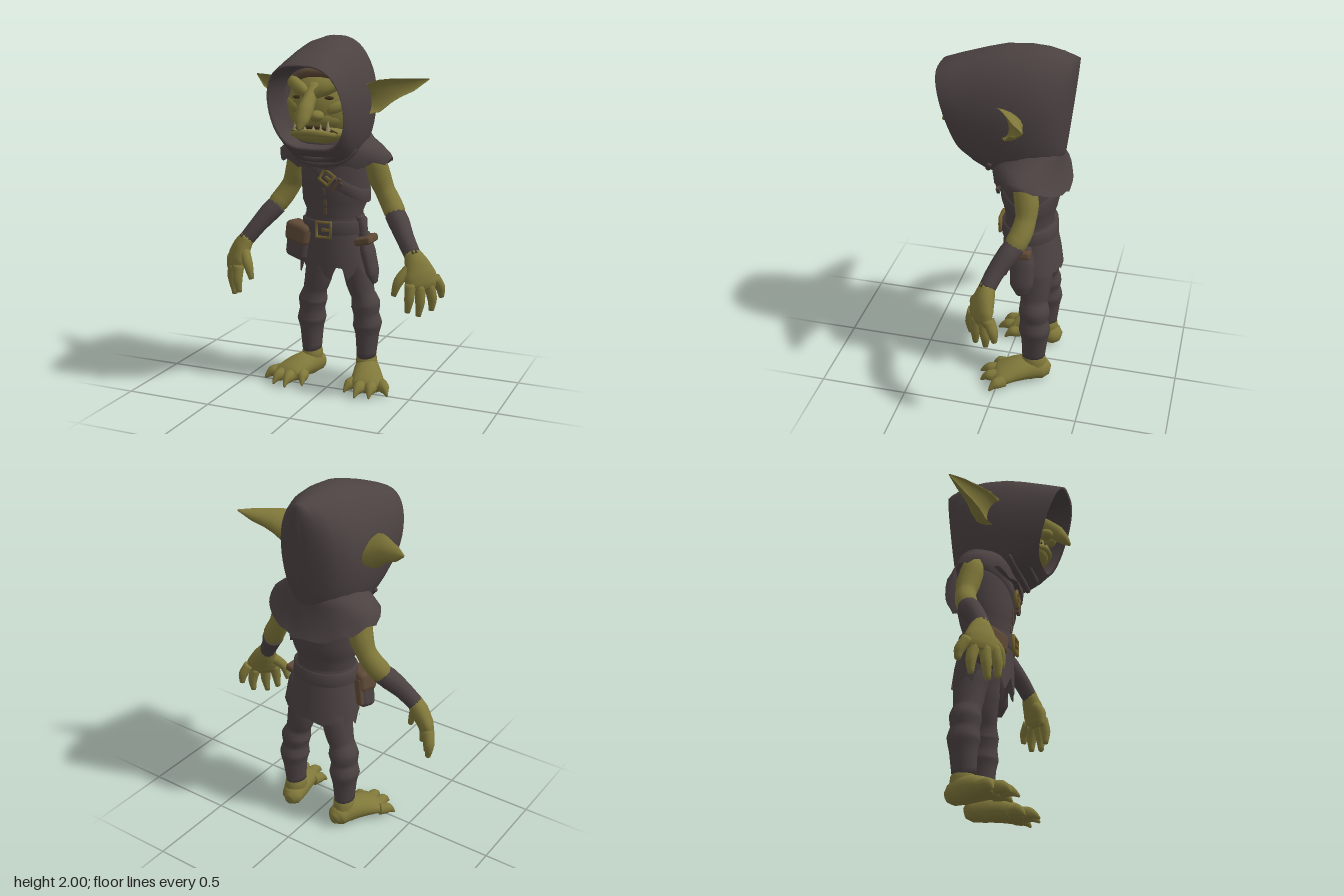
import * as THREE from 'three';
import { RoundedBoxGeometry } from 'three/addons/geometries/RoundedBoxGeometry.js';

const V = (x, y, z) => new THREE.Vector3(x, y, z);
const mat = (name, color, side = THREE.FrontSide) => {
  const m = new THREE.MeshStandardMaterial({ color, side });
  m.name = name;
  return m;
};

// Skin a list of equal-length loops; optional end caps, faces turned outward
function loft(rings, capStart = true, capEnd = true) {
  const n = rings[0].length, pts = rings.flat(), idx = [];
  for (let i = 0; i < rings.length - 1; i++)
    for (let k = 0; k < n; k++) {
      const a = i * n + k, b = i * n + (k + 1) % n;
      idx.push(a, b, a + n, b, b + n, a + n);
    }
  const cap = (i, flip) => {
    const c = rings[i].reduce((s, p) => s.add(p), V(0, 0, 0)).divideScalar(n);
    const id = pts.push(c) - 1;
    for (let k = 0; k < n; k++) {
      const a = i * n + k, b = i * n + (k + 1) % n;
      idx.push(id, flip ? b : a, flip ? a : b);
    }
  };
  if (capStart) cap(0, true);
  if (capEnd) cap(rings.length - 1, false);
  const mid = pts.reduce((s, p) => s.add(p), V(0, 0, 0)).divideScalar(pts.length);
  let volume = 0;
  for (let i = 0; i < idx.length; i += 3) {
    const [a, b, c] = [0, 1, 2].map(j => pts[idx[i + j]].clone().sub(mid));
    volume += a.dot(b.cross(c));
  }
  if (volume < 0) idx.reverse();
  const g = new THREE.BufferGeometry().setFromPoints(pts);
  g.setIndex(idx);
  g.computeVertexNormals();
  return g;
}

// Organic tube through [x, y, z, ru, rv] stations
function limb(st, ref = V(0, 0, 1), sides = 12, sub = 4) {
  const curve = new THREE.CatmullRomCurve3(st.map(s => V(s[0], s[1], s[2])));
  const total = (st.length - 1) * sub, rings = [];
  for (let i = 0; i <= total; i++) {
    const t = i / total, f = Math.min(Math.floor(i / sub), st.length - 2), w = i / sub - f;
    const rad = j => THREE.MathUtils.lerp(st[f][j] ?? st[f][3], st[f + 1][j] ?? st[f + 1][3], w);
    const c = curve.getPoint(t), d = curve.getTangent(t);
    const u = ref.clone().cross(d).normalize(), v = d.clone().cross(u);
    rings.push(Array.from({ length: sides }, (_, k) => {
      const a = k / sides * Math.PI * 2;
      return c.clone().addScaledVector(u, Math.cos(a) * rad(3)).addScaledVector(v, Math.sin(a) * rad(4));
    }));
  }
  return loft(rings);
}

// Horizontal oval ring; the shift function lowers each point for hems and slopes
function ring(y, rx, zf, zb, shift = () => 0, n = 40) {
  return Array.from({ length: n }, (_, k) => {
    const a = k / n * Math.PI * 2, s = Math.sin(a), x = rx * Math.cos(a);
    return V(x, y - shift(k, x, s), (zf + zb) / 2 + (zf - zb) / 2 * s);
  });
}
const rag = k => Math.abs(Math.sin(k * 2.3) * Math.cos(k * 0.9 + 1));
const blob = (x, y, z, rx, ry, rz) =>
  new THREE.SphereGeometry(1, 20, 14).scale(rx, ry, rz).translate(x, y, z);

function mirrored(geo) {
  const g = geo.clone().scale(-1, 1, 1);
  g.setIndex([...g.index.array].reverse());
  g.computeVertexNormals();
  return g;
}

export function createModel() {
  const root = new THREE.Group();
  root.name = 'hoodedCreature';
  const skin = mat('skin green', 0x80783a);
  const cloth = mat('dark cloth', 0x4c4242, THREE.DoubleSide);
  const leather = mat('brown leather', 0x5e4936);
  const brass = mat('old brass', 0x75632f);
  const tooth = mat('tooth', 0x998d66);
  const eye = mat('eye', 0x3d3018);
  const add = (name, geo, m, parent = root) => {
    const mesh = new THREE.Mesh(geo, m);
    mesh.name = name;
    parent.add(mesh);
    return mesh;
  };
  const pair = (name, geo, m) => {
    add(name + 'Left', geo, m);
    add(name + 'Right', mirrored(geo), m);
  };
  const up = V(0, 1, 0);

  // Hood: [topY, topZ, bottomY, bottomZ, halfWidth, squareness], lining to rim to back
  const hood = [
    [1.84, 0.16, 1.42, 0.1, 0.195, 0.7], [1.853, 0.36, 1.415, 0.2, 0.207, 0.66], [1.865, 0.37, 1.4, 0.21, 0.215, 0.66],
    [1.905, 0.27, 1.35, 0.15, 0.225, 0.75], [1.955, 0.13, 1.31, 0.08, 0.235, 0.85], [1.985, 0.03, 1.3, 0, 0.24, 0.92],
    [2, -0.1, 1.3, -0.09, 0.24, 1], [1.995, -0.2, 1.34, -0.18, 0.22, 1], [1.98, -0.28, 1.37, -0.24, 0.18, 1],
    [1.968, -0.335, 1.39, -0.28, 0.125, 1], [1.96, -0.368, 1.41, -0.305, 0.04, 1],
  ].map(([ty, tz, by, bz, w, q]) => Array.from({ length: 40 }, (_, k) => {
    const a = k / 40 * Math.PI * 2, c = Math.cos(a), s = Math.sin(a);
    const wide = Math.sign(s) * Math.abs(s) ** (c < 0 ? 0.55 : q);
    return V(w * wide, (ty + by) / 2 + (ty - by) / 2 * c, (tz + bz) / 2 + (tz - bz) / 2 * c);
  }));
  add('hood', loft(hood, false, true), cloth);
  for (const d of [0, 1])
    add('neckFold', limb([[-0.2, 1.45 - d * 0.05, 0.06, 0.012], [-0.13, 1.385 - d * 0.045, 0.135 - d * 0.05, 0.016],
      [0, 1.35 - d * 0.035, 0.15 - d * 0.055, 0.02], [0.13, 1.385 - d * 0.045, 0.135 - d * 0.05, 0.016],
      [0.2, 1.45 - d * 0.05, 0.06, 0.012]], up), cloth);

  // Shoulder mantle: flared at the shoulders, ragged, longer behind
  const fall = (k, x, s) => s < 0 ? s * s * 0.06 : s * s * 0.02;
  const hem = (k, x, s) => 0.03 * rag(k) + s * s * (s < 0 ? 0.11 : 0.03);
  add('mantle', loft([ring(1.5, 0.18, 0.03, -0.28), ring(1.44, 0.225, 0.06, -0.295),
    ring(1.405, 0.275, 0.07, -0.295), ring(1.365, 0.325, 0.08, -0.305, fall),
    ring(1.335, 0.332, 0.075, -0.345, hem)], false, false), cloth);

  // Face
  add('head', blob(0, 1.625, 0.035, 0.2, 0.205, 0.18), skin);
  add('muzzle', blob(0, 1.57, 0.115, 0.15, 0.08, 0.1), skin);
  add('jaw', blob(0, 1.49, 0.115, 0.155, 0.055, 0.12), skin);
  add('mouth', limb([[-0.13, 1.495, 0.165, 0.007], [-0.08, 1.522, 0.21, 0.009], [0, 1.53, 0.226, 0.01],
    [0.08, 1.522, 0.21, 0.009], [0.13, 1.495, 0.165, 0.007]], up, 8), eye);
  add('lowerLip', limb([[-0.125, 1.485, 0.175, 0.014], [-0.06, 1.5, 0.226, 0.018], [0, 1.502, 0.238, 0.018],
    [0.06, 1.5, 0.226, 0.018], [0.125, 1.485, 0.175, 0.014]], up, 8), skin);
  add('nose', limb([[0, 1.74, 0.15, 0.04, 0.03], [0, 1.68, 0.225, 0.034, 0.04], [0, 1.62, 0.29, 0.044, 0.045],
    [0, 1.57, 0.335, 0.038, 0.03], [0, 1.53, 0.367, 0.008, 0.008]], up), skin);
  pair('nostril', blob(0.042, 1.592, 0.235, 0.04, 0.03, 0.045), skin);
  pair('cheekbone', limb([[0.05, 1.6, 0.17, 0.02, 0.03], [0.1, 1.625, 0.165, 0.03, 0.035],
    [0.15, 1.645, 0.12, 0.03, 0.035], [0.18, 1.66, 0.06, 0.02, 0.02]], up), skin);
  pair('brow', limb([[0.01, 1.695, 0.21, 0.02, 0.022], [0.07, 1.728, 0.19, 0.034, 0.036], [0.13, 1.757, 0.145, 0.034, 0.034],
    [0.175, 1.77, 0.08, 0.016, 0.016]], up), skin);
  pair('eye', blob(0.09, 1.683, 0.18, 0.028, 0.01, 0.018), eye);
  for (const [x, h] of [[0.025, 0.03], [0.06, 0.04], [0.095, 0.06]])
    pair('tooth', new THREE.ConeGeometry(0.015, h, 8).translate(x, 1.51 + h / 2, 0.247 - x * 0.45), tooth);
  add('headband', limb([[-0.15, 1.765, 0.1, 0.02], [-0.08, 1.802, 0.13, 0.024], [0, 1.812, 0.14, 0.024],
    [0.08, 1.802, 0.13, 0.024], [0.15, 1.765, 0.1, 0.02]], up), leather);

  // Ears: crescent sections [x, topY, topZ, bottomY, bottomZ, depth]
  const ear = [[0.2, 1.73, 0.025, 1.6, 0, 0.13], [0.24, 1.75, 0.015, 1.585, -0.02, 0.125],
    [0.29, 1.77, -0.015, 1.595, -0.045, 0.105], [0.34, 1.775, -0.05, 1.64, -0.07, 0.085], [0.39, 1.775, -0.085, 1.675, -0.1, 0.065],
    [0.45, 1.775, -0.125, 1.705, -0.135, 0.045], [0.52, 1.772, -0.187, 1.765, -0.19, 0.006],
  ].map(([x, ty, tz, by, bz, d]) => Array.from({ length: 20 }, (_, k) => {
    const a = k / 20 * Math.PI * 2, t = (1 - Math.cos(a)) / 2, s = Math.sin(a);
    return V(x, ty + (by - ty) * t, tz + (bz - tz) * t - d * Math.abs(s) * (s > 0 ? 1 : 0.4));
  }));
  pair('ear', loft(ear), skin);

  // Tunic, skirt, belt and chest strap
  add('tunic', loft([ring(1.46, 0.12, 0, -0.22), ring(1.38, 0.19, 0.02, -0.27), ring(1.28, 0.2, 0.03, -0.285),
    ring(1.15, 0.195, 0.03, -0.285), ring(1.08, 0.188, 0.025, -0.27), ring(1.03, 0.165, 0.015, -0.255),
    ring(0.95, 0.17, 0.02, -0.255), ring(0.8, 0.15, -0.03, -0.24)]), cloth);
  const skirtHem = (k, x, s) => s > -0.2 ? 0.09 * rag(k) : 0.025 + 0.03 * rag(k) - x * 0.12;
  add('skirt', loft([ring(1, 0.172, 0.022, -0.26), ring(0.9, 0.18, 0.025, -0.275), ring(0.8, 0.2, 0.03, -0.295),
    ring(0.735, 0.213, 0.03, -0.31, skirtHem)], false, false), cloth);
  add('belt', loft([ring(0.985, 0.17, 0.02, -0.255), ring(0.98, 0.186, 0.034, -0.275),
    ring(0.91, 0.19, 0.036, -0.28), ring(0.905, 0.176, 0.02, -0.265)], false, false), cloth);
  const slope = (k, x) => x * 0.65;
  add('chestStrap', loft([ring(1.285, 0.19, 0.02, -0.28, slope), ring(1.28, 0.204, 0.043, -0.295, slope),
    ring(1.215, 0.204, 0.043, -0.295, slope), ring(1.21, 0.19, 0.02, -0.28, slope)], false, false), cloth);
  const buckle = (name, x, y, z, r, turn) => {
    const g = new THREE.Group();
    g.name = name;
    add('buckleFrame', new THREE.TorusGeometry(r, 0.011, 8, 4).rotateZ(Math.PI / 4), brass, g);
    add('bucklePin', new THREE.BoxGeometry(r * 0.9, 0.014, 0.014).translate(r * 0.3, 0, 0.004), brass, g);
    g.position.set(x, y, z);
    g.rotation.z = turn;
    root.add(g);
  };
  buckle('beltBuckle', 0, 0.938, 0.043, 0.06, 0);
  buckle('strapBuckle', 0.02, 1.235, 0.05, 0.046, -0.6);
  add('strapTab', new THREE.BoxGeometry(0.07, 0.05, 0.016).rotateZ(-0.6).translate(0.07, 1.2, 0.042), cloth);
  add('strapLoop', new THREE.BoxGeometry(0.018, 0.08, 0.02).rotateZ(-0.6).translate(0.075, 1.197, 0.042), leather);
  for (const y of [1.15, 1.09, 1.04])
    add('lacing', new THREE.BoxGeometry(0.018, 0.035, 0.009).translate(0, y, y > 1.06 ? 0.029 : 0.018), leather);

  // Pouch on the right hip
  const pouch = new THREE.Group();
  pouch.name = 'pouch';
  add('pouchBody', new RoundedBoxGeometry(0.16, 0.2, 0.1, 3, 0.035), cloth, pouch);
  add('pouchFlap', new RoundedBoxGeometry(0.17, 0.12, 0.112, 3, 0.03).translate(0, 0.055, 0.004), leather, pouch);
  add('pouchBack', new RoundedBoxGeometry(0.15, 0.17, 0.04, 3, 0.018).translate(0, 0, -0.037), leather, pouch);
  pouch.position.set(-0.182, 0.84, -0.045);
  pouch.rotation.set(0, -0.4, -0.15);
  root.add(pouch);

  // Sheathed knife on the left hip
  add('sheath', limb([[0.18, 0.9, -0.11, 0.03, 0.055], [0.2, 0.8, -0.12, 0.04, 0.07],
    [0.23, 0.68, -0.125, 0.032, 0.065], [0.243, 0.62, -0.13, 0.012, 0.03]]), cloth);
  add('knifeGuard', new RoundedBoxGeometry(0.1, 0.045, 0.14, 2, 0.015).rotateZ(0.2).translate(0.197, 0.872, -0.1), leather);
  add('knifeGrip', limb([[0.165, 1.01, -0.08, 0.025], [0.175, 0.95, -0.085, 0.03], [0.19, 0.87, -0.09, 0.028]]), cloth);

  // Arms, sleeves and hands
  pair('upperArm', limb([[0.19, 1.385, -0.15, 0.05], [0.23, 1.31, -0.14, 0.065], [0.255, 1.22, -0.155, 0.066],
    [0.285, 1.15, -0.158, 0.057], [0.325, 1.085, -0.145, 0.06], [0.355, 1.04, -0.125, 0.06], [0.39, 0.98, -0.09, 0.045]]), skin);
  pair('forearmWrap', limb([[0.36, 1.025, -0.12, 0.058], [0.395, 0.985, -0.09, 0.059], [0.45, 0.91, -0.04, 0.05],
    [0.51, 0.825, 0, 0.046]]), cloth);
  // The palm is flat, its broad side facing outward and forward
  const palmFacing = V(1, 0, 1).normalize();
  pair('palm', limb([[0.495, 0.85, -0.005, 0.042, 0.042], [0.53, 0.79, 0.005, 0.07, 0.05], [0.555, 0.73, 0.015, 0.095, 0.047],
    [0.567, 0.685, 0.02, 0.095, 0.04], [0.572, 0.655, 0.022, 0.08, 0.026]], palmFacing, 16), skin);
  const fingers = [[[0.62, 0.71, -0.04], [0.645, 0.65, -0.07], [0.65, 0.595, -0.078]],
    [[0.595, 0.68, -0.01], [0.615, 0.6, -0.02], [0.612, 0.53, -0.02]],
    [[0.56, 0.68, 0.035], [0.568, 0.59, 0.045], [0.56, 0.51, 0.05]],
    [[0.52, 0.69, 0.07], [0.52, 0.61, 0.088], [0.51, 0.535, 0.088]],
    [[0.505, 0.77, 0.03], [0.455, 0.7, 0.08], [0.43, 0.62, 0.088]]];
  for (const f of fingers)
    pair('finger', limb(f.map((p, i) => [...p, [0.032, 0.028, 0.015][i]]), V(0, 0, 1), 10), skin);

  // Wrapped legs
  pair('leg', limb([[0.09, 0.86, -0.14, 0.07, 0.08], [0.112, 0.7, -0.175, 0.083, 0.1], [0.13, 0.6, -0.18, 0.078, 0.088],
    [0.15, 0.53, -0.18, 0.068, 0.078], [0.165, 0.47, -0.185, 0.085, 0.09], [0.17, 0.41, -0.185, 0.073, 0.08],
    [0.175, 0.35, -0.19, 0.085, 0.092], [0.175, 0.29, -0.19, 0.068, 0.078], [0.172, 0.15, -0.185, 0.054, 0.066]]), cloth);

  // Bare feet with clawed toes
  pair('ankle', limb([[0.172, 0.18, -0.185, 0.05, 0.06], [0.172, 0.14, -0.187, 0.06, 0.072],
    [0.175, 0.09, -0.19, 0.06, 0.075], [0.175, 0.05, -0.19, 0.03, 0.04]]), skin);
  pair('foot', limb([[0.16, 0.055, -0.283, 0.025, 0.03], [0.163, 0.062, -0.25, 0.06, 0.058], [0.18, 0.075, -0.18, 0.073, 0.074],
    [0.215, 0.07, -0.09, 0.088, 0.065], [0.25, 0.05, -0.01, 0.1, 0.048], [0.26, 0.037, 0.025, 0.075, 0.03]], up, 16), skin);
  for (const [bx, bz, tx, tz] of [[0.165, -0.03, 0.13, 0.06], [0.22, 0, 0.215, 0.12], [0.275, 0, 0.295, 0.1],
    [0.315, -0.04, 0.38, 0.03]])
    pair('toe', limb([[bx, 0.05, bz, 0.04, 0.036], [(bx + tx) / 2, 0.046, (bz + tz) / 2, 0.032, 0.034],
      [bx + (tx - bx) * 0.75, 0.034, bz + (tz - bz) * 0.75, 0.018, 0.022], [tx, 0.012, tz, 0.005, 0.006]], up, 10), skin);
  return root;
}
